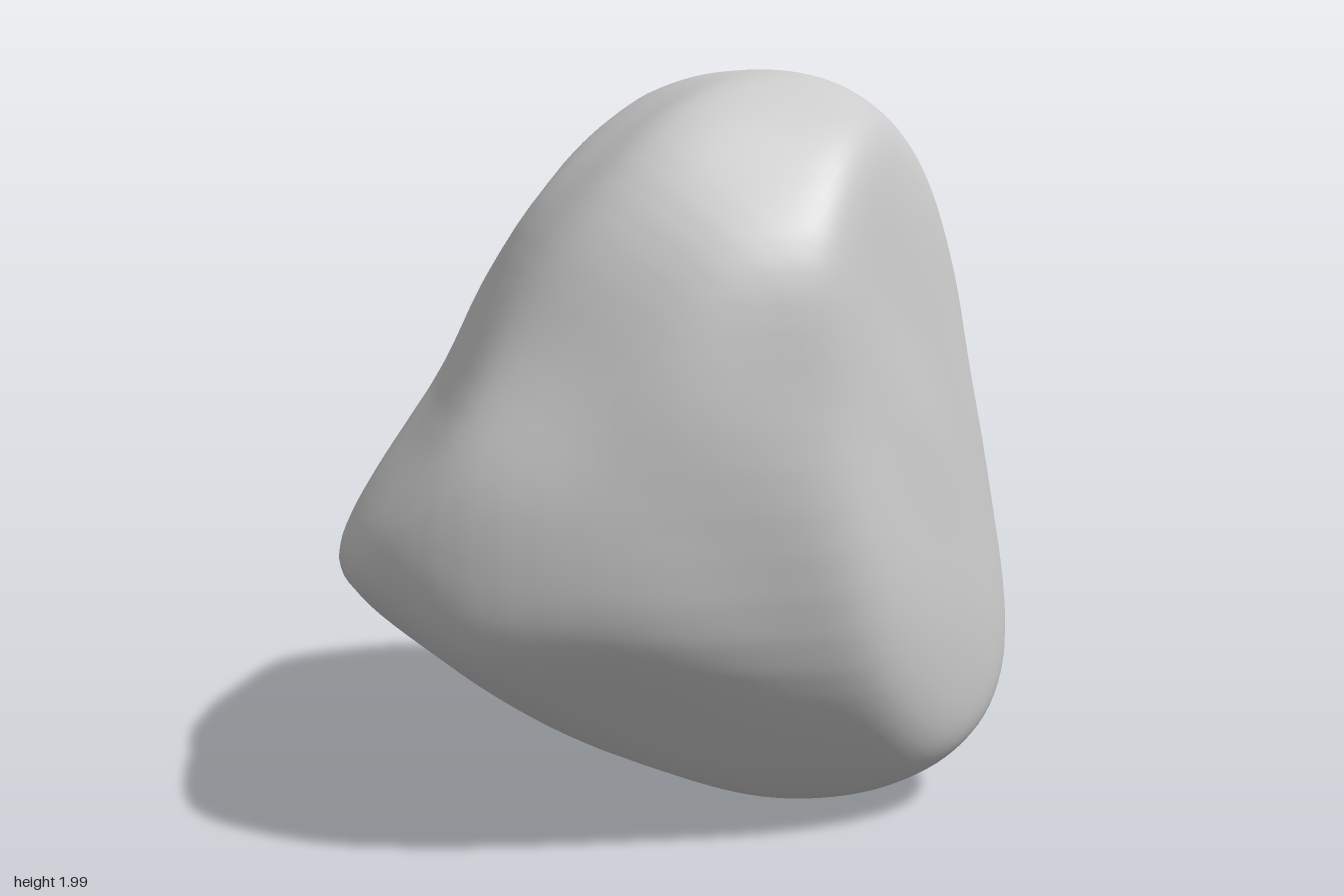
import * as THREE from 'three';
import { mergeVertices } from 'three/addons/utils/BufferGeometryUtils.js';

const core = new THREE.Vector3(0.1, 1, 0);

// Distance along d from the core to the wall of an outline seen from a given turn and tilt.
// The outline is a closed curve through u, v pairs, with v = 0 at mid height.
function wall(turn, tilt, uv) {
  const a = THREE.MathUtils.degToRad(turn), e = THREE.MathUtils.degToRad(tilt);
  const right = new THREE.Vector3(Math.cos(a), 0, -Math.sin(a));
  const up = new THREE.Vector3(-Math.sin(e) * Math.sin(a), Math.cos(e), -Math.sin(e) * Math.cos(a));
  const cu = core.dot(right), cv = core.dot(up) - up.y;
  const knots = [];
  for (let i = 0; i < uv.length; i += 2) knots.push(new THREE.Vector3(uv[i] - cu, uv[i + 1] - cv, 0));
  const ring = new THREE.CatmullRomCurve3(knots, true).getPoints(80);
  return (d) => {
    const du = d.dot(right), dv = d.dot(up);
    let best = Infinity;
    for (let i = 0; i + 1 < ring.length; i++) {
      const p = ring[i], q = ring[i + 1];
      const sp = du * p.y - dv * p.x, sq = du * q.y - dv * q.x;
      if (sp * sq > 0 || sp === sq) continue;
      const k = sp / (sp - sq);
      const x = p.x + (q.x - p.x) * k, y = p.y + (q.y - p.y) * k;
      const t = (x * du + y * dv) / (du * du + dv * dv);
      if (t > 0) best = Math.min(best, t);
    }
    return best;
  };
}

// Distance along d from the core to a flat face with the given normal
function facet(x, y, z, depth) {
  const normal = new THREE.Vector3(x, y, z).normalize();
  return (d) => (d.dot(normal) > 1e-4 ? depth / d.dot(normal) : Infinity);
}

export function createModel() {
  // Leaning front outline, with the low tip on the right
  const front = wall(0, 0, [0.22, 1.02, 0.55, 0.87, 0.72, 0.5, 0.83, 0, 0.94, -0.55, 0.88, -0.74,
    0.46, -1.03, -0.2, -0.82, -0.8, -0.53, -0.97, -0.36, -0.65, 0.2, -0.42, 0.64, -0.08, 0.93]);
  // Broad side outline, narrowing to the foot
  const side = wall(90, 0, [0, 1.02, 0.5, 0.92, 0.8, 0.64, 0.9, 0.05, 0.82, -0.38, 0.52, -0.71,
    0, -1.02, -0.46, -0.92, -0.77, -0.55, -0.91, 0.15, -0.82, 0.65, -0.5, 0.97]);
  // Plan outline
  const plan = wall(0, 90, [0.96, -0.14, 0.76, 0.56, 0.4, 0.86, -0.1, 0.91, -0.55, 0.8,
    -0.83, 0.48, -0.96, -0.15, -0.82, -0.62, -0.1, -0.91, 0.28, -0.86]);
  // Shoulders and undercuts across the diagonals
  const diagonals = [
    wall(45, 30, [0.33, 0.98, 0.75, 0.79, 0.94, 0.15, 0.87, -0.54, 0.5, -1.04,
      0.05, -1.13, -0.55, -0.73, -1.04, -0.23, -0.81, 0.32, -0.5, 0.67]),
    wall(225, 30, [0.04, 1.14, 0.56, 0.88, 0.87, 0.24, 1.04, -0.26, 0.65, -0.68,
      0.26, -0.91, -0.26, -0.9, -0.77, -0.6, -0.95, 0.14, -0.68, 0.8]),
    wall(135, -30, [0, 1.11, 0.35, 0.95, 0.72, 0.32, 0.93, -0.05, 0.98, -0.48, 0.35, -0.78,
      -0.2, -0.93, -0.71, -0.81, -0.88, -0.3, -0.81, 0.52, -0.46, 0.99]),
  ];
  // Steep front face, long sloping side and undercut back corner
  const steepFace = facet(0.75, 0.12, 0.65, 0.72);
  const longSlope = facet(-0.8, 0.5, -0.4, 0.7);
  const backCorner = facet(0.45, -0.3, -0.84, 0.82);
  const limits = [front, side, plan, ...diagonals, steepFace, longSlope, backCorner];

  let geo = new THREE.IcosahedronGeometry(1, 40);
  geo.deleteAttribute('uv');
  geo.deleteAttribute('normal');
  geo = mergeVertices(geo, 1e-5);

  // Push every vertex out to the softly blended nearest wall, with faint weathering
  const pos = geo.attributes.position, d = new THREE.Vector3(), sharpness = 28;
  for (let i = 0; i < pos.count; i++) {
    d.fromBufferAttribute(pos, i).normalize();
    let sum = 0;
    for (const limit of limits) sum += Math.pow(limit(d), -sharpness);
    const weather = Math.sin(7 * d.x + 3 * d.y) * Math.sin(6 * d.y - 4 * d.z + 1) * Math.sin(8 * d.z + 2 * d.x);
    d.multiplyScalar(Math.pow(sum, -1 / sharpness) * (1 + 0.008 * weather)).add(core);
    pos.setXYZ(i, d.x, d.y, d.z);
  }

  // Rest the foot on the ground
  geo.computeBoundingBox();
  geo.translate(0, -geo.boundingBox.min.y, 0);
  geo.computeVertexNormals();

  const boulder = new THREE.Mesh(geo, new THREE.MeshStandardMaterial({ color: 0xcccccc }));
  boulder.name = 'boulder';
  const group = new THREE.Group();
  group.name = 'rock';
  group.add(boulder);
  return group;
}
